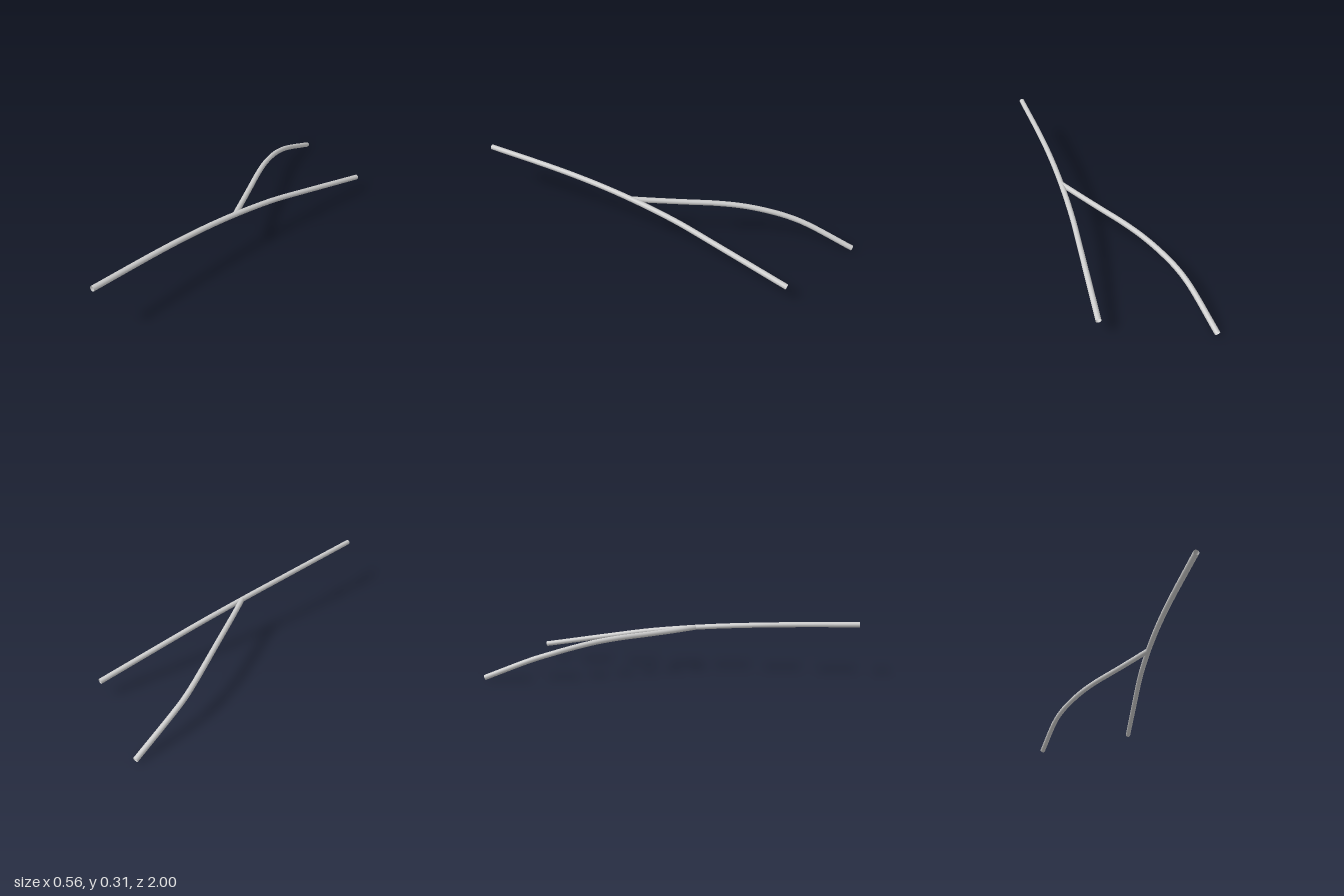
import * as THREE from 'three';

const RADIUS = 0.0145;

// Open-ended round tube swept along a smooth curve through the points
function tube(name, points, material) {
  const curve = new THREE.CatmullRomCurve3(points.map(p => new THREE.Vector3(...p)), false, 'centripetal');
  const mesh = new THREE.Mesh(new THREE.TubeGeometry(curve, 32, RADIUS, 16, false), material);
  mesh.name = name;
  return mesh;
}

export function createModel() {
  const group = new THREE.Group();
  group.name = 'forkedTube';
  const material = new THREE.MeshStandardMaterial({ color: 0xcccccc, side: THREE.DoubleSide });

  // Long gently arched main tube, front to back
  group.add(tube('mainTube', [
    [0.24, 0.296, 0.999], [0.219, 0.283, 0.6], [0.212, 0.273, 0.4], [0.21, 0.259, 0.2],
    [0.213, 0.239, 0], [0.221, 0.213, -0.2], [0.237, 0.174, -0.42], [0.268, 0.097, -0.837],
  ], material));

  // Side branch leaving the main tube and bending down at the back
  group.add(tube('branchTube', [
    [0.212, 0.249, 0.09], [0.14, 0.237, -0.03], [0.06, 0.226, -0.165], [-0.02, 0.216, -0.3],
    [-0.09, 0.199, -0.425], [-0.15, 0.172, -0.545], [-0.19, 0.146, -0.64],
    [-0.219, 0.115, -0.74], [-0.268, 0.0145, -0.995],
  ], material));

  return group;
}
